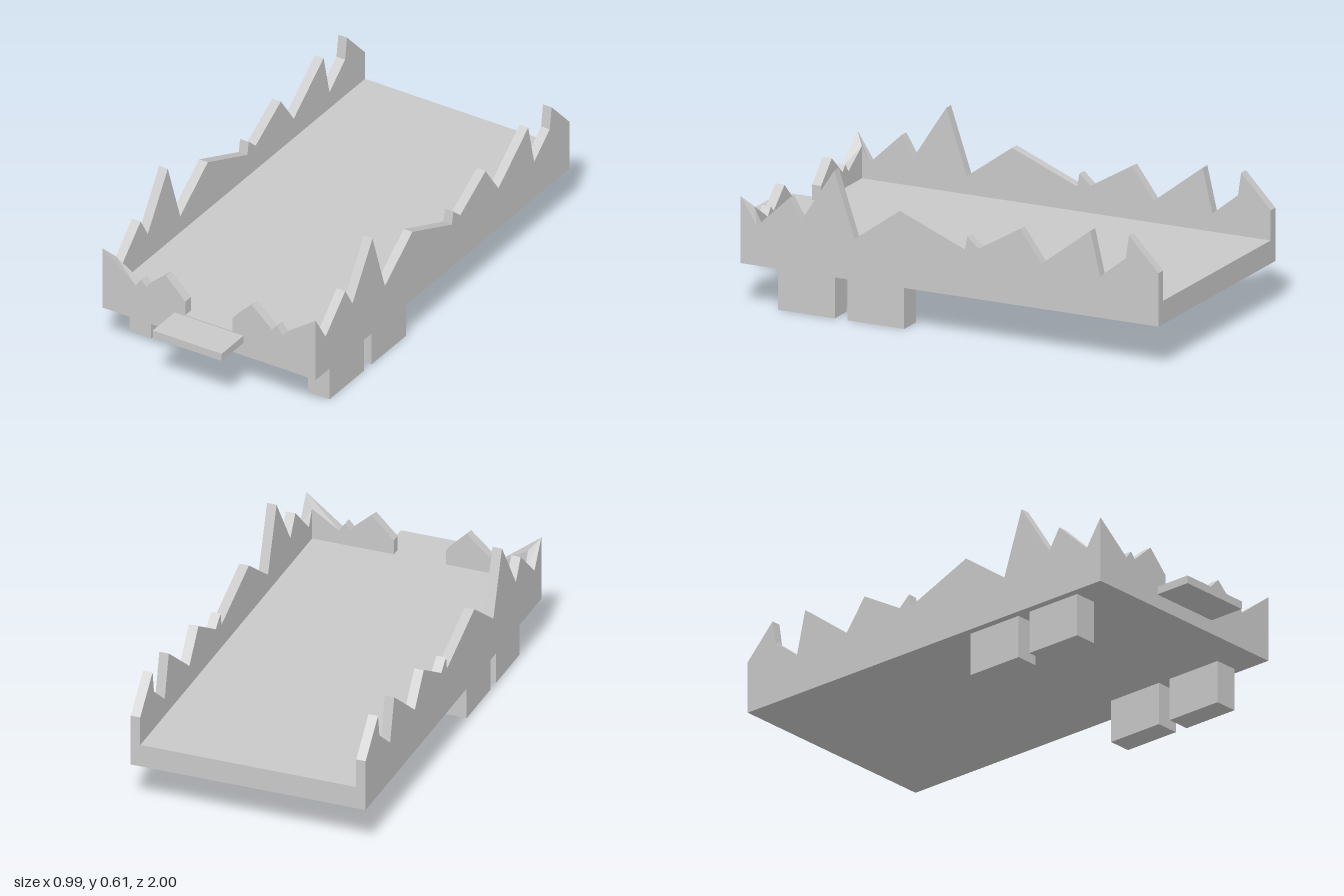
import * as THREE from 'three';

const BASE = 0.178, FLOOR = 0.273, T = 0.04;
const HX = 0.495, FRONT = 0.842, BACK = -1;

// Extrudes a jagged outline [u, y]; inner corners at u = end are cut back to form a mitre.
function jaggedWall(points, innerDepth, ends) {
  const shape = new THREE.Shape(points.map(([u, y]) => new THREE.Vector2(u, y)));
  const geo = new THREE.ExtrudeGeometry(shape, { depth: T, bevelEnabled: false });
  const p = geo.attributes.position;
  for (let i = 0; i < p.count; i++) {
    const u = p.getX(i);
    if (Math.abs(p.getZ(i) - innerDepth) > 1e-4) continue;
    if (!ends.some((e) => Math.abs(e - u) < 1e-4)) continue;
    p.setX(i, u - Math.sign(u) * T);
    if (p.getY(i) > BASE + 0.01) p.setY(i, 0.405);
  }
  geo.computeVertexNormals();
  return geo;
}

export function createModel() {
  const group = new THREE.Group();
  const grey = new THREE.MeshStandardMaterial({ color: 0xc8c8c8 });
  grey.name = 'plain grey';

  const add = (name, geo, x = 0, y = 0, z = 0) => {
    const mesh = new THREE.Mesh(geo, grey);
    mesh.name = name;
    mesh.position.set(x, y, z);
    group.add(mesh);
  };
  const box = (name, x0, x1, y0, y1, z0, z1) => add(name,
    new THREE.BoxGeometry(x1 - x0, y1 - y0, z1 - z0), (x0 + x1) / 2, (y0 + y1) / 2, (z0 + z1) / 2);

  // Floor slab and the tongue sticking out of the front
  box('floor', -HX + T, HX - T, BASE, FLOOR, BACK, FRONT - T);
  box('frontTongue', -0.16, 0.16, 0.236, 0.269, FRONT - T, 1);

  // Side walls: outline as [z, y], front to back
  const sideTop = [
    [FRONT, 0.452], [0.77, 0.34], [0.627, 0.475], [0.575, 0.39], [0.43, 0.614],
    [0.34, 0.347], [0.14, 0.491], [-0.147, 0.373], [-0.157, 0.428], [-0.207, 0.384],
    [-0.39, 0.491], [-0.484, 0.362], [-0.70, 0.528], [-0.743, 0.347], [-0.856, 0.438],
    [-0.87, 0.532], [BACK, 0.396],
  ];
  const side = [...sideTop, [BACK, BASE], [FRONT, BASE]];
  for (const s of [1, -1]) {
    const geo = jaggedWall(side, s > 0 ? T : 0, [FRONT]);
    geo.rotateY(-Math.PI / 2);
    add(s > 0 ? 'leftWall' : 'rightWall', geo, s > 0 ? HX : -HX + T);
  }

  // Front wall: half outline as [x, y], mirrored around the central gap
  const half = [
    [HX, 0.452], [0.341, 0.332], [0.315, 0.367], [0.292, 0.342],
    [0.2, 0.424], [0.11, 0.335], [0.11, FLOOR],
  ];
  const mirrored = half.map(([x, y]) => [-x, y]).reverse();
  const front = [...half, ...mirrored, [-HX, BASE], [HX, BASE]];
  add('frontWall', jaggedWall(front, 0, [HX, -HX]), 0, 0, FRONT - T);

  // Two block feet under each side
  for (const s of [1, -1]) {
    for (const z of [0.568, 0.262]) {
      add('foot', new THREE.BoxGeometry(0.1, BASE, 0.25), s * 0.414, BASE / 2, z);
    }
  }
  return group;
}
